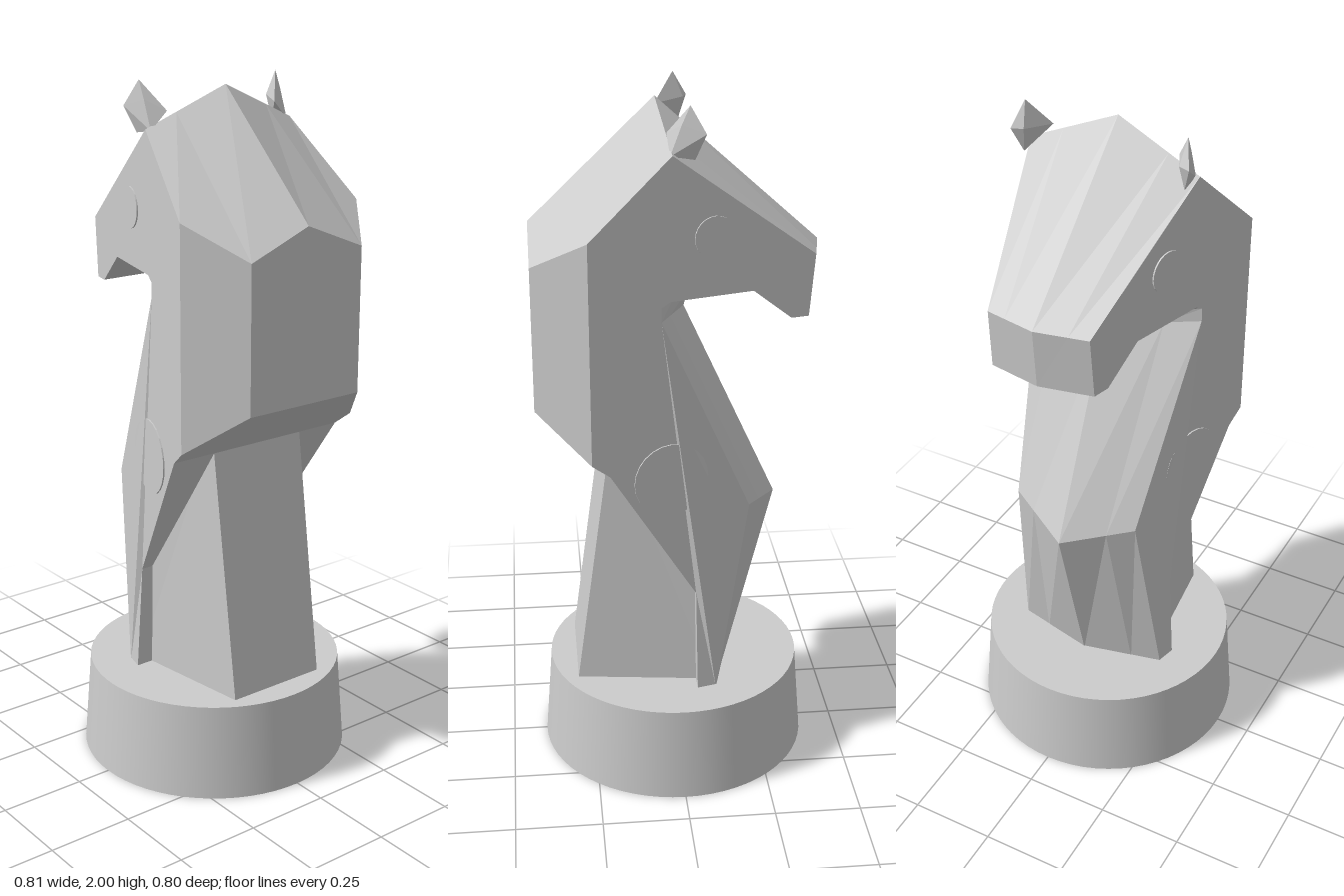
import * as THREE from 'three';
import { ConvexGeometry } from 'three/addons/geometries/ConvexGeometry.js';

const material = new THREE.MeshStandardMaterial({ color: 0xcccccc, flatShading: true });
const smooth = new THREE.MeshStandardMaterial({ color: 0xcccccc });

// Half width of the slanted side panels: narrow at the muzzle, wide at the mane
const halfWidth = (x, y) => 0.15 + 0.248 * (x + 0.375) + (y < 0.4 ? 0.02 : 0);

// Closed solid from stations round an outline (counterclockwise from +z).
// Each station: side edge [x, y], centre [x, y], optional bevel corner [x, y, z].
function outlineSolid(stations, widthAt) {
  const rows = stations.map(({ side, centre = side, bevel }) => {
    const z = widthAt(...side);
    const inner = bevel ?? [
      side[0] + (centre[0] - side[0]) * 0.38,
      side[1] + (centre[1] - side[1]) * 0.38,
      z * 0.62,
    ];
    return [
      [...side, z], inner, [...centre, 0],
      [inner[0], inner[1], -inner[2]], [...side, -z],
    ];
  });
  const pos = [];
  const tri = (a, b, c) => pos.push(...a, ...b, ...c);
  // strips across the width
  rows.forEach((row, i) => {
    const next = rows[(i + 1) % rows.length];
    for (let k = 0; k < 4; k++) {
      tri(row[k], row[k + 1], next[k + 1]);
      tri(row[k], next[k + 1], next[k]);
    }
  });
  // side panels
  const contour = stations.map((s) => new THREE.Vector2(...s.side));
  for (const [a, b, c] of THREE.ShapeUtils.triangulateShape(contour, [])) {
    tri(rows[a][0], rows[b][0], rows[c][0]);
    tri(rows[c][4], rows[b][4], rows[a][4]);
  }
  const geo = new THREE.BufferGeometry();
  geo.setAttribute('position', new THREE.Float32BufferAttribute(pos, 3));
  geo.computeVertexNormals();
  return geo;
}

export function createModel() {
  const group = new THREE.Group();
  const add = (name, geo, mat = material) => {
    const mesh = new THREE.Mesh(geo, mat);
    mesh.name = name;
    group.add(mesh);
    return mesh;
  };

  // Round base
  add('base', new THREE.CylinderGeometry(0.376, 0.398, 0.28, 64).translate(0, 0.14, 0), smooth);

  // Head, neck, chest and mane
  add('horseBody', outlineSolid([
    { side: [-0.375, 1.575], centre: [-0.405, 1.575] }, // nose
    { side: [-0.36, 1.4], centre: [-0.39, 1.4] },
    { side: [-0.31, 1.4] }, // chin
    { side: [-0.2, 1.49] },
    { side: [0.03, 1.485], centre: [-0.09, 1.475] }, // throat
    { side: [0.055, 1.47], centre: [-0.045, 1.44] },
    { side: [0.055, 1.43], centre: [-0.03, 1.39] },
    { side: [-0.2, 0.85], centre: [-0.3, 0.8] }, // chest
    { side: [-0.105, 0.27], centre: [-0.16, 0.27] },
    { side: [-0.05, 0.27] },
    { side: [-0.045, 0.59] },
    { side: [0.2, 1.0] },
    { side: [0.25, 1.04], centre: [0.4, 1.16], bevel: [0.4, 1.16, 0.19] }, // mane
    { side: [0.25, 1.665], centre: [0.4, 1.645], bevel: [0.4, 1.57, 0.19] },
    { side: [0.025, 1.875], centre: [0.05, 1.98] }, // crest
  ], halfWidth));

  // Block standing behind the chest
  add('backSupport', outlineSolid([
    { side: [-0.1, 0.27] },
    { side: [0.3, 0.27] },
    { side: [0.19, 1.07] },
    { side: [-0.1, 0.65] },
  ], (x) => (x < 0 ? 0.205 : 0.155)));

  for (const s of [1, -1]) {
    const sideName = s > 0 ? 'front' : 'back';

    // Pointed ear
    add(sideName + 'Ear', new ConvexGeometry([
      [-0.035, 1.86, 0.235], [-0.062, 1.93, 0.258], [-0.05, 1.93, 0.225],
      [-0.022, 2.0, 0.235], [0.0, 1.95, 0.235], [0.03, 1.87, 0.235], [0.035, 1.92, 0.185],
    ].map(([x, y, z]) => new THREE.Vector3(x, y, z * s))));

    // Eye and shoulder discs, nearly flush with the slanted panel
    for (const [name, x, y, r] of [['Eye', -0.09, 1.65, 0.058], ['ShoulderDisc', 0.03, 0.965, 0.108]]) {
      const disc = add(sideName + name, new THREE.CylinderGeometry(r, r, 0.02, 24).rotateX(Math.PI / 2));
      disc.position.set(x, y, s * (halfWidth(x, y) - 0.006));
      disc.rotation.y = -s * Math.atan(0.248);
    }
  }
  return group;
}
